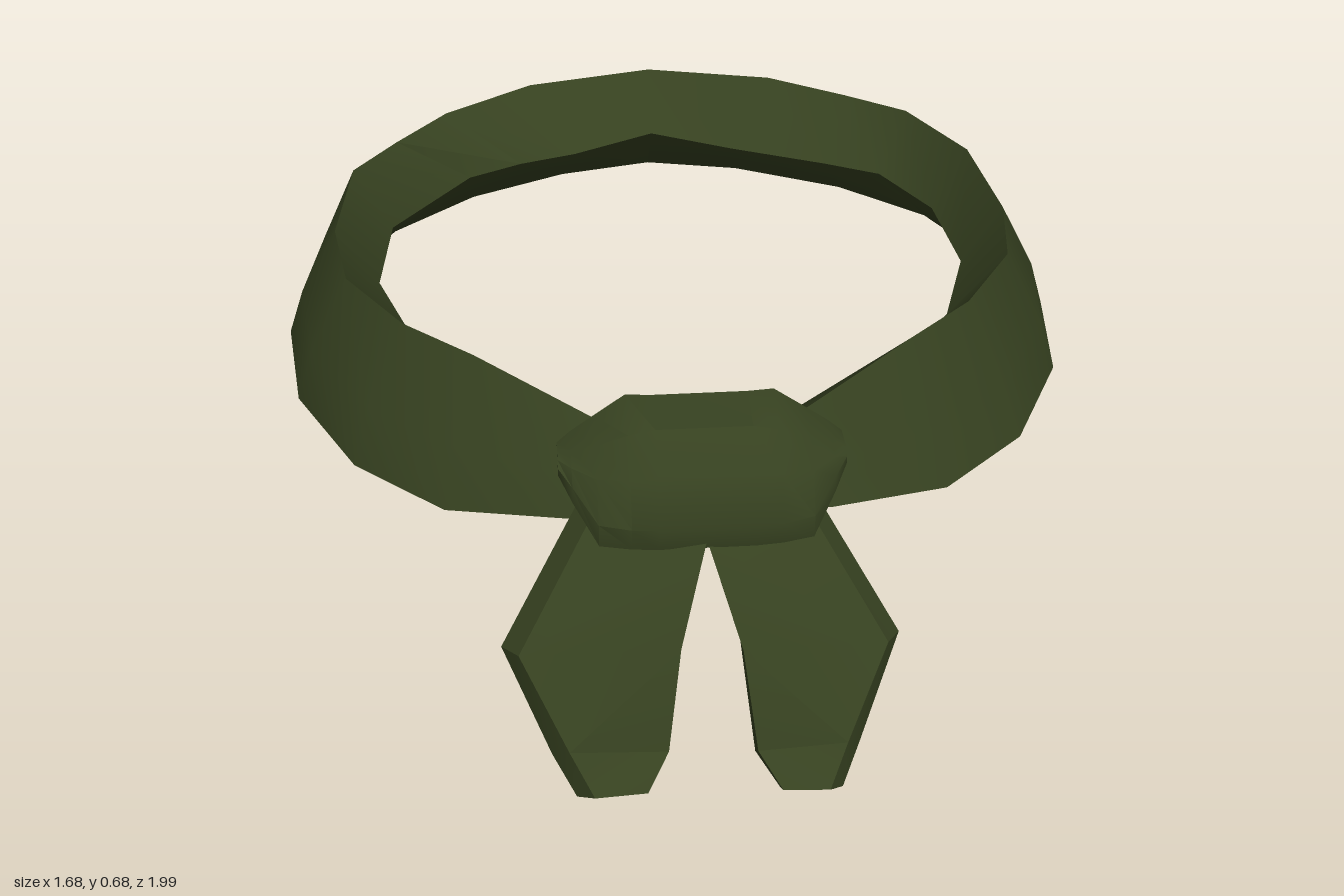
import * as THREE from 'three';
import { toCreasedNormals } from 'three/addons/utils/BufferGeometryUtils.js';

// Skin a list of equal-length cross-sections; closed joins last to first, otherwise ends are capped.
function loft(sections, closed, crease) {
  const n = sections[0].length, m = sections.length;
  const pos = sections.flat(2);
  const index = [];
  for (let i = 0; i < (closed ? m : m - 1); i++) {
    for (let j = 0; j < n; j++) {
      const a = i * n + j, b = i * n + (j + 1) % n;
      const c = ((i + 1) % m) * n + j, d = ((i + 1) % m) * n + (j + 1) % n;
      index.push(a, b, d, a, d, c);
    }
  }
  if (!closed) {
    const e = (m - 1) * n;
    for (let j = 1; j < n - 1; j++) index.push(0, j + 1, j, e, e + j, e + j + 1);
  }
  // Signed volume tells which way the corners run; turn them outward
  const p = (i) => new THREE.Vector3(pos[i * 3], pos[i * 3 + 1], pos[i * 3 + 2]);
  let volume = 0;
  for (let i = 0; i < index.length; i += 3) {
    volume += p(index[i]).dot(p(index[i + 1]).cross(p(index[i + 2])));
  }
  if (volume < 0) index.reverse();
  const g = new THREE.BufferGeometry();
  g.setAttribute('position', new THREE.Float32BufferAttribute(pos, 3));
  g.setIndex(index);
  return toCreasedNormals(g, crease);
}

// Band stations from back to front: bottom rim x,z,y / top ridge x,z,y / inner fold x,z
const BAND = [
  [0, -1, 0.395, 0, -0.89, 0.68, 0, -0.79],
  [0.23, -0.965, 0.395, 0.29, -0.84, 0.67, 0.19, -0.70],
  [0.49, -0.83, 0.395, 0.46, -0.71, 0.675, 0.40, -0.595],
  [0.70, -0.62, 0.395, 0.59, -0.61, 0.675, 0.52, -0.53],
  [0.80, -0.41, 0.395, 0.69, -0.38, 0.68, 0.61, -0.34],
  [0.84, -0.18, 0.39, 0.715, -0.11, 0.67, 0.63, -0.10],
  [0.80, 0.11, 0.395, 0.68, 0.10, 0.67, 0.555, 0.13],
  [0.67, 0.37, 0.395, 0.56, 0.29, 0.67, 0.46, 0.27],
  [0.49, 0.53, 0.39, 0.42, 0.43, 0.675, 0.37, 0.37],
  [0.25, 0.62, 0.42, 0.20, 0.55, 0.60, 0.14, 0.48],
  [0, 0.65, 0.44, 0, 0.56, 0.57, 0, 0.48],
];

// The right side folds a little differently at the back
const BAND_RIGHT = BAND.slice();
BAND_RIGHT[2] = [0.49, -0.83, 0.395, 0.49, -0.68, 0.675, 0.32, -0.65];
BAND_RIGHT[3] = [0.70, -0.62, 0.395, 0.60, -0.53, 0.675, 0.44, -0.585];

function bandSection([ax, az, ay, rx, rz, ry, ix, iz], s) {
  const mix = THREE.MathUtils.lerp;
  return [
    [s * ax, ay, az],
    [s * mix(ax, rx, 0.4) * 1.015, mix(ay, ry, 0.41), mix(az, rz, 0.4)],
    [s * rx, ry, rz],
    [s * ix, mix(ay, ry, 0.56), iz],
    [s * mix(ix, ax, 0.71), ay + 0.01, mix(iz, az, 0.71)],
  ];
}

// Knot profiles (y, z) by distance from the middle
const KNOT = [
  [0.09, [[0.645, 0.55], [0.635, 0.655], [0.57, 0.72], [0.48, 0.755], [0.43, 0.745], [0.42, 0.56], [0.50, 0.485]]],
  [0.14, [[0.645, 0.545], [0.622, 0.65], [0.565, 0.715], [0.48, 0.75], [0.43, 0.74], [0.42, 0.56], [0.50, 0.485]]],
  [0.20, [[0.605, 0.55], [0.595, 0.64], [0.555, 0.69], [0.48, 0.73], [0.43, 0.725], [0.425, 0.60], [0.50, 0.51]]],
  [0.245, [[0.575, 0.555], [0.57, 0.61], [0.555, 0.65], [0.525, 0.67], [0.49, 0.67], [0.485, 0.61], [0.515, 0.56]]],
  [0.27, [[0.555, 0.56], [0.557, 0.59], [0.555, 0.62], [0.545, 0.635], [0.53, 0.635], [0.53, 0.60], [0.54, 0.57]]],
];

// Tail rows: inner front corner, outer front corner, offset to the back face (y, z)
const TAIL = [
  [[0, 0.44, 0.74], [0.19, 0.47, 0.68], [-0.02, -0.05]],
  [[0.055, 0.285, 0.87], [0.33, 0.26, 0.835], [-0.02, -0.055]],
  [[0.08, 0.09, 0.925], [0.25, 0.09, 0.915], [-0.04, -0.045]],
  [[0.12, 0.05, 0.99], [0.21, 0.035, 0.98], [-0.03, -0.04]],
];

function tailSection([[a, b, c], [d, e, f], [dy, dz]], s, lift) {
  return [
    [s * a, b + lift, c], [s * d, e + lift, f],
    [s * (d + 0.03), e + dy + lift, f + dz], [s * a, b + dy + lift, c + dz],
  ];
}

export function createModel() {
  const group = new THREE.Group();
  const cloth = new THREE.MeshStandardMaterial({ color: 0x364120 });
  cloth.name = 'olive cloth';
  const add = (name, geometry) => {
    const mesh = new THREE.Mesh(geometry, cloth);
    mesh.name = name;
    group.add(mesh);
  };

  // Neck band: left side forward, then the right side back
  const left = BAND.map((b) => bandSection(b, 1));
  const right = BAND_RIGHT.slice(1, -1).reverse().map((b) => bandSection(b, -1));
  add('band', loft([...left, ...right], true, 0.7));

  // Knot
  const knotSide = (s) => KNOT.map(([x, profile]) => profile.map(([y, z]) => [s * x, y, z]));
  add('knot', loft([...knotSide(-1).reverse(), ...knotSide(1)], false, 0.65));

  // Two hanging tails, the right one slightly wider and higher
  add('leftTail', loft(TAIL.map((r) => tailSection(r, 1, 0)), false, 0.5));
  add('rightTail', loft(TAIL.map((r) => tailSection(r, -1.08, 0.01)), false, 0.5));

  return group;
}
